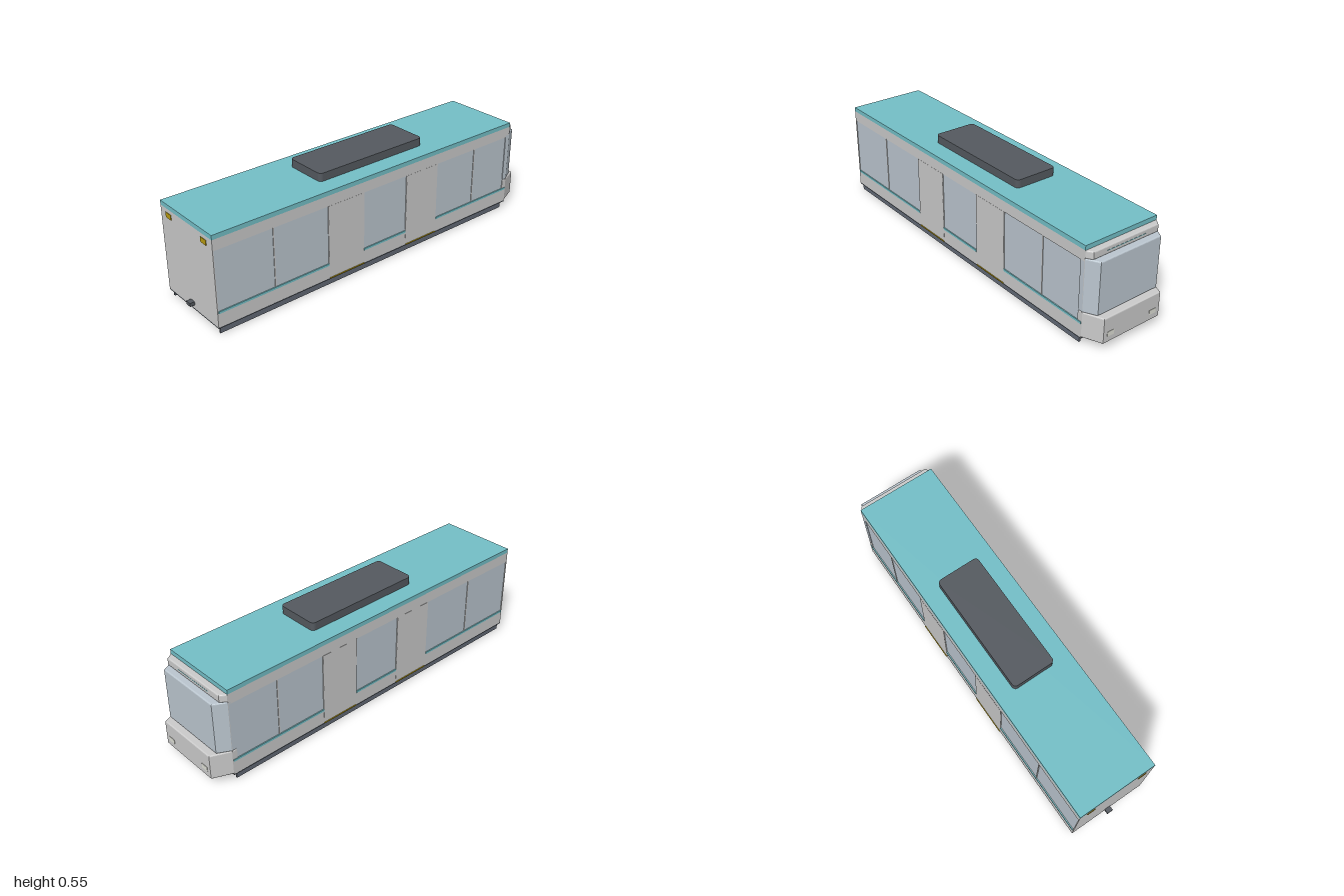
import * as THREE from 'three';

const mat = (color, side = THREE.FrontSide) => new THREE.MeshStandardMaterial({ color, side });
const GREY = mat(0xcccccc), GLASS = mat(0xbcc7d0), TEAL = mat(0x74c0c8);
const DARK = mat(0x555a60), STEEL = mat(0x636a76), YELLOW = mat(0xb89a10), LAMP = mat(0xdedfd6);

export function createModel() {
  const root = new THREE.Group();

  const add = (name, geometry, material, parent = root) => {
    const mesh = new THREE.Mesh(geometry, material);
    mesh.name = name;
    parent.add(mesh);
    return mesh;
  };
  // Box given by its limits on each axis
  const box = (name, material, [x0, x1], [y0, y1], [z0, z1], parent = root) => {
    const mesh = add(name, new THREE.BoxGeometry(x1 - x0, y1 - y0, z1 - z0), material, parent);
    mesh.position.set((x0 + x1) / 2, (y0 + y1) / 2, (z0 + z1) / 2);
    return mesh;
  };
  const rectangle = (Type, x0, x1, y0, y1) => new Type([
    new THREE.Vector2(x0, y0), new THREE.Vector2(x1, y0),
    new THREE.Vector2(x1, y1), new THREE.Vector2(x0, y1),
  ]);

  // Car body, floor and roof
  const X0 = -0.975, X1 = 0.9;
  box('bodyCore', GREY, [X0, X1], [0.04, 0.485], [-0.207, 0.207]);
  box('floor', DARK, [X0, X1], [0.034, 0.041], [-0.212, 0.212]);
  box('roof', TEAL, [X0, X1], [0.485, 0.508], [-0.212, 0.212]);

  // Roof unit with rounded corners
  const unit = new THREE.Shape();
  const hx = 0.327, hz = 0.115, r = 0.02;
  unit.absarc(hx - r, hz - r, r, 0, Math.PI / 2);
  unit.absarc(-hx + r, hz - r, r, Math.PI / 2, Math.PI);
  unit.absarc(-hx + r, -hz + r, r, Math.PI, Math.PI * 1.5);
  unit.absarc(hx - r, -hz + r, r, Math.PI * 1.5, Math.PI * 2);
  const roofUnit = add('roofUnit',
    new THREE.ExtrudeGeometry(unit, { depth: 0.042, bevelEnabled: false, curveSegments: 6 }), DARK);
  roofUnit.rotation.x = -Math.PI / 2;
  roofUnit.position.set(0.008, 0.508, 0);

  // Side walls: recessed windows, trim strips, doors and sills
  const windows = [[-0.97, -0.35], [-0.13, 0.145], [0.36, 0.897]];
  const doors = [[-0.35, -0.13], [0.145, 0.36]];
  const createSide = (name, s) => {
    const side = new THREE.Group();
    side.name = name;
    root.add(side);
    const span = (a, b) => (s > 0 ? [a, b] : [-b, -a]);

    const wall = rectangle(THREE.Shape, X0, X1, 0.04, 0.485);
    for (const [a, b] of windows) wall.holes.push(rectangle(THREE.Path, a, b, 0.122, 0.43));
    const panel = add('sideWall',
      new THREE.ExtrudeGeometry(wall, { depth: 0.005, bevelEnabled: false }), GREY, side);
    panel.position.z = s > 0 ? 0.207 : -0.212;

    for (const [a, b] of windows) {
      box('window', GLASS, [a, b], [0.122, 0.43], span(0.206, 0.2085), side);
      box('windowTrim', TEAL, [a, b], [0.112, 0.123], span(0.21, 0.215), side);
    }
    for (const x of [-0.66, 0.63])
      box('windowDivider', GREY, [x - 0.003, x + 0.003], [0.122, 0.43], span(0.206, 0.2115), side);
    for (const [a, b] of doors) {
      box('door', GREY, [a + 0.001, b - 0.001], [0.046, 0.43], span(0.21, 0.2127), side);
      box('doorSill', YELLOW, [a + 0.005, b - 0.002], [0.039, 0.043], span(0.21, 0.2165), side);
    }
    box('skirt', STEEL, [-0.962, 0.88], [0, 0.035], span(0.193, 0.202), side);
  };
  createSide('leftSide', 1);
  createSide('rightSide', -1);

  // Tapered cab sections with softened edges
  const cabSection = (name, material, y0, y1, xFront, zFront) => {
    const bevel = 0.006, zBack = 0.212 - bevel, xf = xFront - bevel, zf = zFront - bevel * 0.5;
    const outline = new THREE.Shape([
      new THREE.Vector2(X1 - 0.02, -zBack), new THREE.Vector2(X1, -zBack),
      new THREE.Vector2(xf, -zf), new THREE.Vector2(xf, zf),
      new THREE.Vector2(X1, zBack), new THREE.Vector2(X1 - 0.02, zBack),
    ]);
    const geometry = new THREE.ExtrudeGeometry(outline, {
      depth: y1 - y0 - 2 * bevel, bevelThickness: bevel, bevelSize: bevel, bevelSegments: 3,
    });
    const mesh = add(name, geometry, material);
    mesh.rotation.x = -Math.PI / 2;
    mesh.position.y = y0 + bevel;
  };
  cabSection('cabNose', GREY, 0.042, 0.174, 0.997, 0.17);
  cabSection('windshield', GLASS, 0.174, 0.445, 0.963, 0.178);
  cabSection('cabBrow', GREY, 0.445, 0.485, 0.931, 0.192);
  box('browStripe', TEAL, [0.925, 0.932], [0.462, 0.465], [-0.115, 0.115]);

  // Lights at both ends
  for (const s of [-1, 1]) {
    box('headlight', LAMP, [0.99, 0.999], [0.074, 0.098], [s * 0.129 - 0.02, s * 0.129 + 0.02]);
    box('tailLight', YELLOW, [-0.978, -0.97], [0.44, 0.466], [s * 0.145 - 0.022, s * 0.145 + 0.022]);
  }

  // Rear coupler
  box('coupler', DARK, [-1, -0.97], [0.06, 0.078], [-0.016, 0.016]);

  return root;
}
